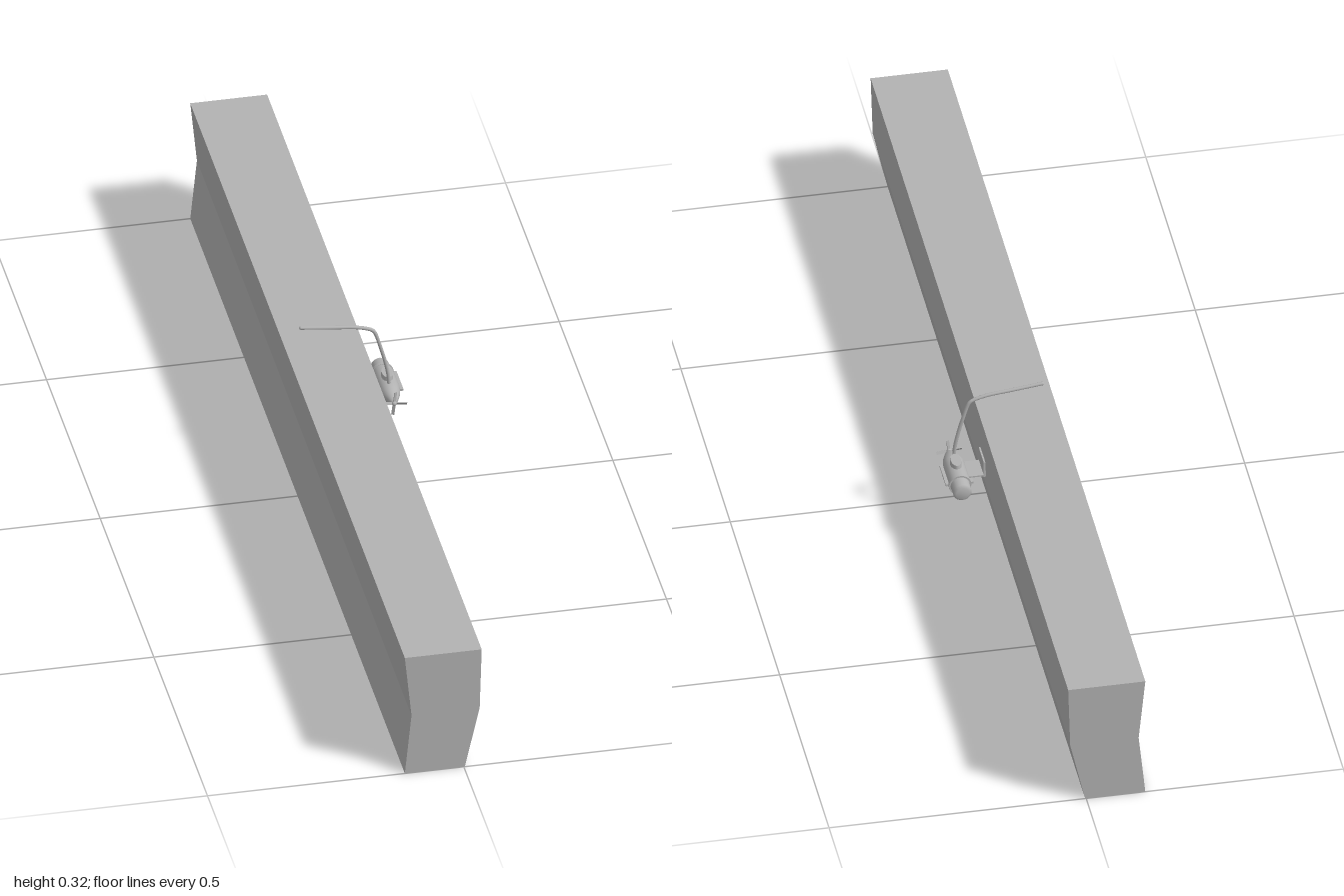
import * as THREE from 'three';

const grey = new THREE.MeshStandardMaterial({ color: 0xb2b2b2 });
grey.name = 'grey';

export function createModel() {
  const model = new THREE.Group();
  const add = (name, geometry, x = 0, y = 0, z = 0, parent = model) => {
    const mesh = new THREE.Mesh(geometry, grey);
    mesh.name = name;
    mesh.position.set(x, y, z);
    parent.add(mesh);
    return mesh;
  };

  // Long wall with a waisted cross-section
  const section = new THREE.Shape([
    [-0.115, 0], [0.002, 0], [0.031, 0.13], [0.035, 0.262], [-0.115, 0.262], [-0.102, 0.13],
  ].map(([x, y]) => new THREE.Vector2(x, y)));
  add('wall', new THREE.ExtrudeGeometry(section, { depth: 2, bevelEnabled: false }), 0, 0, -1);

  // Pod body: capped cylinder tapering to the propeller shaft
  const pod = new THREE.Group();
  pod.name = 'pod';
  pod.position.set(0.085, 0.15, 0);
  model.add(pod);
  const profile = [
    [0, -0.195], [0.013, -0.195], [0.018, -0.19], [0.018, -0.168], [0.021, -0.164],
    [0.021, -0.1], [0.018, -0.085], [0.011, -0.067], [0.005, -0.058], [0, -0.056],
  ].map(([r, z]) => new THREE.Vector2(r, z));
  add('podBody', new THREE.LatheGeometry(profile, 20).rotateX(Math.PI / 2), 0, 0, 0, pod);
  add('podCollar', new THREE.CylinderGeometry(0.022, 0.022, 0.006, 20).rotateX(Math.PI / 2), 0, 0, -0.164, pod);
  add('propellerHub', new THREE.SphereGeometry(0.005, 12, 8), 0, 0, -0.054, pod);

  // Four pitched propeller blades
  for (let i = 0; i < 4; i++) {
    const arm = new THREE.Group();
    arm.name = 'propellerBlade';
    arm.rotation.z = i * Math.PI / 2 - 0.12;
    arm.position.z = -0.054;
    pod.add(arm);
    const blade = add('blade', new THREE.BoxGeometry(0.022, 0.006, 0.0015), 0.014, 0, 0, arm);
    blade.rotation.x = 0.5;
  }

  // Side fins and raised saddle on the pod
  for (const s of [-1, 1]) {
    add('sideFin', new THREE.BoxGeometry(0.009, 0.004, 0.065), s * 0.0225, 0, -0.13, pod);
  }
  add('saddle', new THREE.CylinderGeometry(0.01, 0.011, 0.012, 16).scale(1, 1, 2), 0, 0.022, -0.122, pod);

  // Bracket fixing the pod to the wall
  add('wallPlate', new THREE.BoxGeometry(0.004, 0.034, 0.05), 0.034, 0.168, -0.125);
  add('bracketArm', new THREE.BoxGeometry(0.036, 0.003, 0.05), 0.05, 0.154, -0.125);

  // Bent rod rising from the pod and reaching over the wall
  const path = new THREE.CatmullRomCurve3([
    [-0.088, 0.317], [-0.03, 0.31], [0.02, 0.304], [0.046, 0.2965], [0.054, 0.291],
    [0.068, 0.25], [0.076, 0.22], [0.082, 0.19], [0.084, 0.163],
  ].map(([x, y]) => new THREE.Vector3(x, y, -0.097)), false, 'centripetal');
  add('rod', new THREE.TubeGeometry(path, 48, 0.0036, 10));
  const ends = [path.getPoint(0), path.getPoint(1)];
  ends.forEach((p) => add('rodEnd', new THREE.SphereGeometry(0.0036, 10, 8), p.x, p.y, p.z));

  return model;
}
